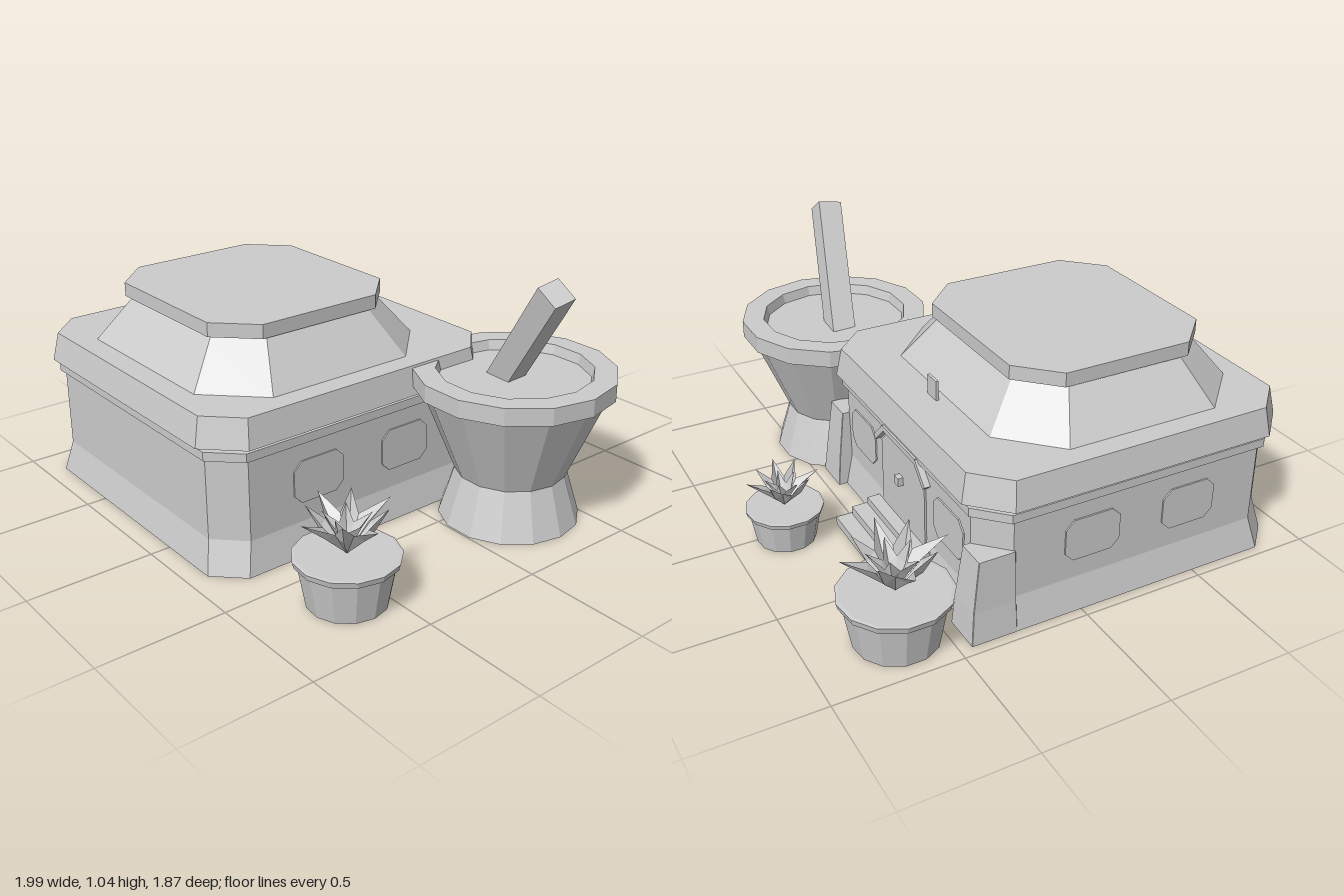
import * as THREE from 'three';

const stone = new THREE.MeshStandardMaterial({ color: 0xcccccc, flatShading: true, side: THREE.DoubleSide });
stone.name = 'pale stone';

function add(parent, name, geometry, x = 0, y = 0, z = 0) {
  const mesh = new THREE.Mesh(geometry, stone);
  mesh.name = name;
  mesh.position.set(x, y, z);
  parent.add(mesh);
  return mesh;
}

function fromTriangles(points) {
  const g = new THREE.BufferGeometry();
  g.setAttribute('position', new THREE.Float32BufferAttribute(points.flat(), 3));
  g.computeVertexNormals();
  return g;
}

// Rectangle with cut corners at height y
function ring([y, x0, x1, z0, z1, c]) {
  return [[x1, z0 + c], [x1, z1 - c], [x1 - c, z1], [x0 + c, z1],
    [x0, z1 - c], [x0, z0 + c], [x0 + c, z0], [x1 - c, z0]].map(([x, z]) => [x, y, z]);
}

// Joins cut-corner rings; floor is the index of the ring closed from below
function loft(sections, floor = 0) {
  const rings = sections.map(ring), tris = [];
  const mid = (s) => [(s[1] + s[2]) / 2, s[0], (s[3] + s[4]) / 2];
  const top = rings.length - 1;
  for (let i = 0; i < 8; i++) {
    const j = (i + 1) % 8;
    for (let k = 0; k < top; k++) {
      const a = rings[k], b = rings[k + 1];
      tris.push(a[i], b[i], b[j], a[i], b[j], a[j]);
    }
    tris.push(mid(sections[floor]), rings[floor][i], rings[floor][j]);
    tris.push(mid(sections[top]), rings[top][j], rings[top][i]);
  }
  return fromTriangles(tris);
}

// Faceted turned shape with a corner pointing along +x
function turned(profile, sides) {
  return new THREE.LatheGeometry(profile.map(([r, y]) => new THREE.Vector2(r, y)), sides).rotateY(Math.PI / 2);
}

// Thin plate with cut corners, centred, facing +z
function plate(w, h, topCut, bottomCut, depth = 0.006) {
  const s = new THREE.Shape(), a = w / 2, b = h / 2;
  s.setFromPoints([[-a + bottomCut, -b], [a - bottomCut, -b], [a, -b + bottomCut], [a, b - topCut],
    [a - topCut, b], [-a + topCut, b], [-a, b - topCut], [-a, -b + bottomCut]]
    .map(([x, y]) => new THREE.Vector2(x, y)));
  return new THREE.ExtrudeGeometry(s, { depth, bevelEnabled: false });
}

// Crown of pointed leaves, folded between valleys
function leafCrown(leaves) {
  const tris = [], root = [0, 0, 0];
  const at = (angle, r, y) => [Math.cos(angle) * r, y, Math.sin(angle) * r];
  for (let i = 0; i < leaves; i++) {
    const a = (i / leaves) * Math.PI * 2, half = Math.PI / leaves;
    const tip = i % 2 ? at(a, 0.145, 0.18) : at(a + 0.08, 0.185, 0.165);
    const left = at(a - half, 0.085, 0.115), right = at(a + half, 0.085, 0.115);
    const fold = at(a, 0.095, 0.09);
    tris.push(root, left, fold, left, tip, fold, root, fold, right, fold, tip, right);
  }
  return fromTriangles(tris);
}

function pottedPlant(name, x, z, scale) {
  const g = new THREE.Group();
  g.name = name;
  add(g, 'pot', turned([[0.15, 0], [0.18, 0.165], [0.192, 0.165], [0.198, 0.188], [0.187, 0.19], [0, 0.188]], 13));
  add(g, 'leaves', leafCrown(8), 0, 0.188, 0);
  const inner = add(g, 'innerLeaves', leafCrown(5), 0, 0.188, 0);
  inner.scale.set(0.5, 0.9, 0.5);
  g.position.set(x, 0, z);
  g.scale.setScalar(scale);
  return g;
}

export function createModel() {
  const model = new THREE.Group();
  model.name = 'apothecaryHut';

  // Walls with flared foot and a raised band
  const wall = (y, out) => [y, -0.93 - out, 0.345 + out, -0.385 - out, 0.89 + out, 0.11];
  add(model, 'walls', loft([wall(0, 0.03), wall(0.13, 0), wall(0.455, 0), wall(0.455, 0.016),
    wall(0.49, 0.016), wall(0.49, 0), wall(0.51, 0)], 1));

  // Roof: eaves, sloped hood, flat cap
  add(model, 'eaves', loft([[0.51, -0.967, 0.384, -0.427, 0.934, 0.135], [0.625, -0.945, 0.362, -0.405, 0.91, 0.125]]));
  add(model, 'hood', loft([[0.624, -0.86, 0.275, -0.22, 0.82, 0.205], [0.8, -0.72, 0.135, -0.085, 0.685, 0.145]]));
  add(model, 'cap', loft([[0.8, -0.74, 0.15, -0.11, 0.71, 0.145], [0.856, -0.74, 0.15, -0.11, 0.71, 0.145]]));
  add(model, 'plaque', new THREE.BoxGeometry(0.07, 0.08, 0.012), -0.295, 0.665, -0.26);

  // Tapered buttresses at the back corners
  for (const s of [-1, 1]) {
    const g = loft([[0, 0.51, 0.668, -0.452, -0.27, 0.002], [0.13, 0.515, 0.655, -0.44, -0.27, 0.002],
      [0.33, 0.525, 0.645, -0.415, -0.27, 0.002]]);
    const b = add(model, 'buttress', s > 0 ? g : g.rotateY(0), -0.293, 0, 0);
    b.scale.x = s;
  }

  // Side and back windows
  for (const z of [0.05, 0.47]) {
    for (const s of [-1, 1]) {
      const w = add(model, 'sideWindow', plate(0.23, 0.17, 0.035, 0.035), s > 0 ? 0.345 : -0.93, 0.295, z);
      w.rotation.y = s * Math.PI / 2;
    }
  }
  for (const x of [0.075, -0.66]) {
    add(model, 'backWindow', plate(0.23, 0.17, 0.035, 0.035), x, 0.295, -0.385).rotation.y = Math.PI;
  }

  // Door with slanted trim, knob and steps
  add(model, 'door', plate(0.37, 0.37, 0.07, 0.001, 0.008), -0.293, 0.265, -0.385).rotation.y = Math.PI;
  for (const s of [-1, 1]) {
    const trim = add(model, 'doorTrim', new THREE.BoxGeometry(0.11, 0.022, 0.03), -0.293 + s * 0.175, 0.42, -0.395);
    trim.rotation.z = -s * Math.PI / 4;
  }
  add(model, 'doorTrim', new THREE.BoxGeometry(0.28, 0.022, 0.03), -0.293, 0.457, -0.395);
  add(model, 'knob', new THREE.BoxGeometry(0.035, 0.035, 0.03), -0.28, 0.29, -0.4);
  [[0.495, -0.575, 0.035], [0.475, -0.51, 0.07], [0.455, -0.445, 0.1]].forEach(([w, z, h]) => {
    add(model, 'step', new THREE.BoxGeometry(w, h, -0.38 - z), -0.293, h / 2, (z - 0.38) / 2);
  });

  // Large mortar with an open foot
  const mortar = new THREE.Group();
  mortar.name = 'mortar';
  mortar.position.set(0.605, 0, -0.28);
  model.add(mortar);
  add(mortar, 'foot', turned([[0.28, 0], [0.22, 0.195]], 14));
  add(mortar, 'bowl', turned([[0, 0.195], [0.22, 0.195], [0.365, 0.545], [0.394, 0.545], [0.394, 0.615],
    [0.305, 0.615], [0.295, 0.575], [0, 0.575]], 14));

  // Slanted pestle
  const low = new THREE.Vector3(0.535, 0.54, -0.285), high = new THREE.Vector3(0.867, 1.0, -0.19);
  const axis = high.clone().sub(low);
  const pestle = add(model, 'pestle', new THREE.BoxGeometry(0.1, axis.length(), 0.1));
  pestle.position.copy(low).add(high).multiplyScalar(0.5);
  pestle.quaternion.setFromUnitVectors(new THREE.Vector3(0, 1, 0), axis.normalize());

  // Potted plants
  model.add(pottedPlant('backRightPlant', -0.785, -0.66, 1.08));
  model.add(pottedPlant('backPlant', -0.025, -0.78, 0.78));
  model.add(pottedPlant('frontPlant', 0.705, 0.625, 1));
  return model;
}
